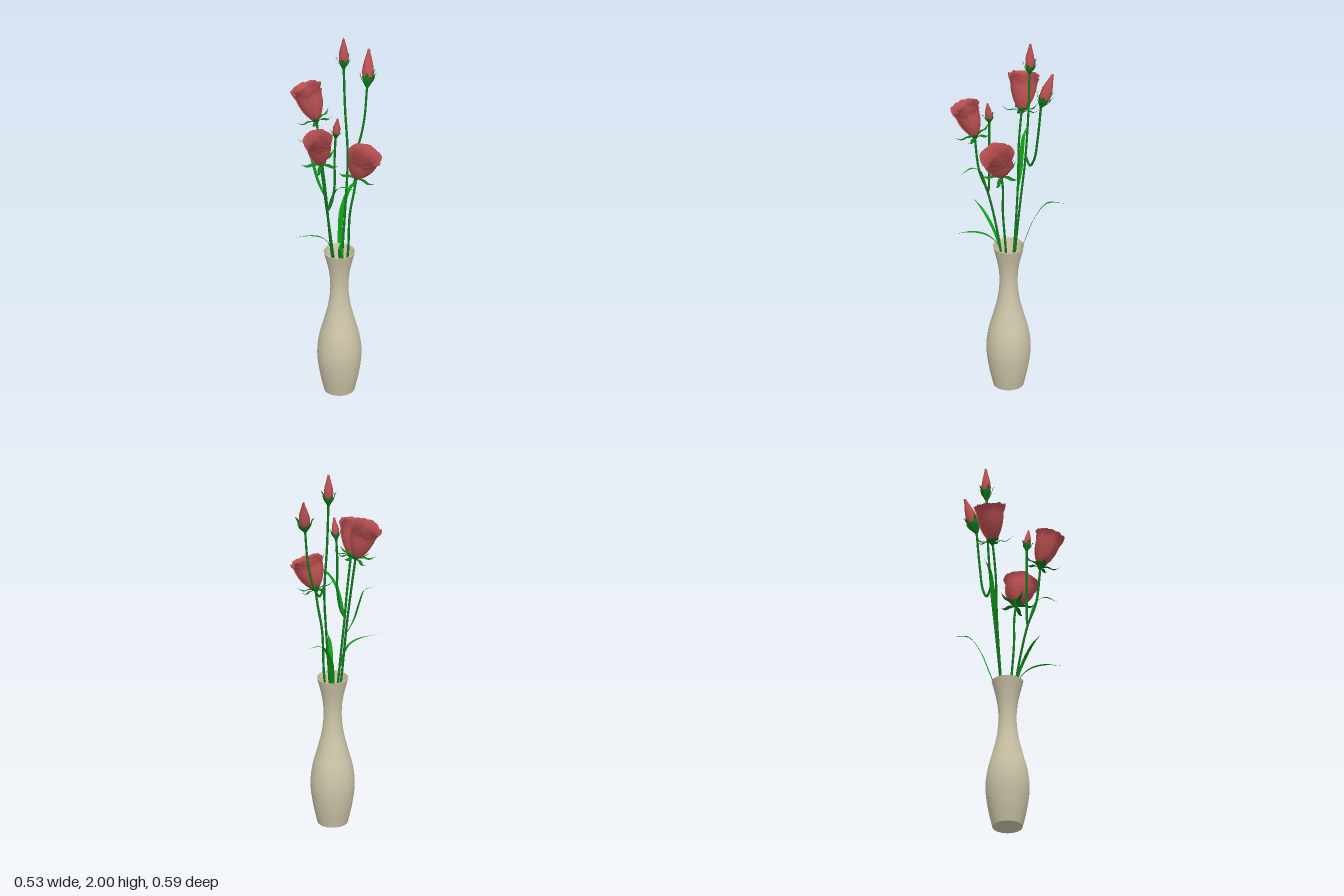
import * as THREE from 'three';
import { mergeGeometries } from 'three/addons/utils/BufferGeometryUtils.js';

const mat = (color, side = THREE.DoubleSide) => new THREE.MeshStandardMaterial({ color, side });
const V = (p) => new THREE.Vector3(...p);
const CX = 0.014, CZ = -0.003; // vase axis

function addMesh(parent, name, geometry, material) {
  const mesh = new THREE.Mesh(geometry, material);
  mesh.name = name;
  parent.add(mesh);
  return mesh;
}

// Bends a flat grid by a rule: fn(u in -1..1, v in 0..1) -> [x, y, z]
function sheet(nu, nv, fn) {
  const g = new THREE.PlaneGeometry(2, 1, nu, nv);
  const pos = g.attributes.position;
  for (let i = 0; i < pos.count; i++) pos.setXYZ(i, ...fn(pos.getX(i), pos.getY(i) + 0.5));
  g.computeVertexNormals();
  return g;
}

// Pointed blade along a curve, lightly folded at the midrib
function blade(points, halfWidth) {
  const curve = new THREE.CatmullRomCurve3(points.map(V));
  const a = curve.getPoint(0), b = curve.getPoint(1);
  const side = new THREE.Vector3(b.z - a.z, 0, a.x - b.x).normalize();
  return sheet(2, 16, (u, v) => {
    const p = curve.getPoint(v);
    const w = halfWidth * (0.2 + 0.8 * Math.sin(Math.PI * Math.pow(v, 0.75))) * Math.min(1, (1 - v) * 4);
    return [p.x + side.x * u * w, p.y + Math.abs(u) * w * 0.3, p.z + side.z * u * w];
  });
}

// One petal wrapped round the flower axis; its trailing edge tucks under the next
function petal(radius, height, angle, span, profile, lip) {
  return sheet(10, 10, (u, v) => {
    const a = angle + u * span;
    const curl = lip * Math.pow(Math.max(0, (v - 0.75) / 0.25), 2);
    const r = radius * profile(v) * (1 + 0.06 * u) + curl * (1 - 0.4 * u * u);
    const y = height * v * (1 - 0.1 * Math.pow(u, 4)) - curl * 0.35 + 0.006 * lip * 50 * v * v * Math.sin(u * 5 + angle);
    return [Math.sin(a) * r, y, Math.cos(a) * r];
  });
}

// Ring of thin sepals; path points are [outward, up]
function sepals(count, path, halfWidth) {
  const blades = [];
  for (let i = 0; i < count; i++) {
    const a = (i / count) * Math.PI * 2 + 0.5;
    blades.push(blade(path.map(([r, y]) => [Math.sin(a) * r, y, Math.cos(a) * r]), halfWidth));
  }
  return mergeGeometries(blades);
}

const lathe = (pts, seg) => new THREE.LatheGeometry(pts.map((p) => new THREE.Vector2(...p)), seg);

// Group standing on base with its own y axis pointing to tip
function flowerGroup(name, base, tip) {
  const g = new THREE.Group();
  g.name = name;
  g.position.copy(V(base));
  const axis = V(tip).sub(V(base));
  g.quaternion.setFromUnitVectors(new THREE.Vector3(0, 1, 0), axis.clone().normalize());
  return { g, length: axis.length() };
}

export function createModel() {
  const root = new THREE.Group();
  root.name = 'vaseOfRoses';
  const red = mat(0xbc5052), green = mat(0x0f7a1c), leafGreen = mat(0x109a18);

  // Vase: outer wall, rim, inner wall
  const wall = new THREE.SplineCurve([[0.077, 0], [0.099, 0.1], [0.112, 0.21], [0.103, 0.31], [0.08, 0.4],
    [0.056, 0.5], [0.046, 0.6], [0.054, 0.7], [0.08, 0.81]].map((p) => new THREE.Vector2(...p))).getPoints(40);
  const vase = new THREE.Group();
  vase.name = 'vase';
  vase.position.set(CX, 0, CZ);
  root.add(vase);
  const clay = mat(0xcdc5a9);
  addMesh(vase, 'vaseOuterWall', new THREE.LatheGeometry(wall, 48), clay);
  addMesh(vase, 'vaseInnerWall', new THREE.LatheGeometry(wall.map((p) => new THREE.Vector2(p.x - 0.005, Math.max(p.y, 0.01))).reverse(), 48), clay);
  addMesh(vase, 'vaseRim', new THREE.RingGeometry(0.075, 0.08, 48), clay).rotation.x = -Math.PI / 2;
  vase.getObjectByName('vaseRim').position.y = 0.81;
  addMesh(vase, 'vaseBase', new THREE.CircleGeometry(0.077, 48), clay).rotation.x = Math.PI / 2;
  const water = addMesh(vase, 'water', new THREE.CircleGeometry(0.051, 40), mat(0x2c2ca0));
  water.rotation.x = -Math.PI / 2;
  water.position.y = 0.5;

  // Stems: the last two are side shoots
  const stems = {
    leftRoseStem: [[0.005, 0.35, -0.005], [-0.012, 0.6, -0.008], [-0.045, 0.82, -0.01], [-0.08, 1.13, -0.012], [-0.105, 1.35, -0.005], [-0.135, 1.54, -0.008]],
    rightRoseStem: [[0.02, 0.35, -0.005], [0.038, 0.6, -0.008], [0.063, 0.82, -0.01], [0.08, 1.05, -0.002], [0.1, 1.19, -0.012], [0.118, 1.29, -0.01]],
    frontRoseStem: [[0.014, 0.35, 0.01], [0.016, 0.6, 0.022], [0.012, 0.82, 0.05], [0.02, 1.1, 0.11], [0.035, 1.22, 0.15], [0.03, 1.43, 0.18]],
    tallBudStem: [[0.014, 0.35, -0.01], [0.008, 0.6, -0.022], [0.008, 0.82, -0.04], [0.008, 1.1, -0.068], [0.003, 1.32, -0.09], [-0.02, 1.6, -0.098], [-0.03, 1.84, -0.1]],
    backBudStem: [[0.003, 1.36, -0.091], [0.01, 1.31, -0.12], [0.022, 1.36, -0.15], [0.04, 1.5, -0.178], [0.045, 1.71, -0.2]],
    frontBudStem: [[0.02, 1.1, 0.11], [0.035, 1.14, 0.097], [0.05, 1.25, 0.088], [0.05, 1.4, 0.088], [0.055, 1.55, 0.085]],
  };
  for (const [name, pts] of Object.entries(stems))
    addMesh(root, name, new THREE.TubeGeometry(new THREE.CatmullRomCurve3(pts.map(V)), 40, 0.006, 8), green);

  // Leaves
  const leaves = [
    [[[-0.005, 0.7, -0.03], [-0.035, 0.84, -0.075], [-0.055, 0.97, -0.12], [-0.053, 1.07, -0.19], [-0.045, 1.1, -0.295]], 0.014],
    [[[0.012, 0.74, 0.035], [0.015, 0.86, 0.07], [0.005, 0.94, 0.12], [-0.03, 0.97, 0.175], [-0.09, 0.978, 0.255]], 0.009],
    [[[0.025, 0.74, 0.01], [0.055, 0.83, 0.04], [0.09, 0.89, 0.085], [0.14, 0.92, 0.145], [0.2, 0.925, 0.21]], 0.012],
    [[[0.022, 1.1, 0.11], [0.05, 1.18, 0.118], [0.09, 1.26, 0.125], [0.16, 1.305, 0.14], [0.265, 1.31, 0.16]], 0.01],
    [[[-0.075, 1.08, -0.01], [-0.12, 1.17, -0.005], [-0.15, 1.27, 0], [-0.18, 1.35, 0.002], [-0.245, 1.39, 0.005]], 0.012],
  ];
  leaves.forEach(([pts, w], i) => addMesh(root, `leaf${i + 1}`, blade(pts, w), leafGreen));

  // Open roses: rings of overlapping petals, tightening to the heart
  const cup = (v) => 0.12 + 0.8 * Math.pow(Math.sin(Math.min(1, v * 1.15) * Math.PI / 2), 0.65);
  const rings = [[1, 5, 0.97], [0.85, 5, 1], [0.69, 4, 1], [0.53, 4, 0.99], [0.38, 3, 0.98], [0.24, 3, 0.97], [0.11, 2, 0.96]];
  const roses = [
    ['leftRose', [-0.135, 1.53, -0.008], [-0.193, 1.715, 0.006], 0.072],
    ['rightRose', [0.115, 1.28, -0.01], [0.172, 1.435, -0.012], 0.08],
    ['frontRose', [0.028, 1.42, 0.178], [0.047, 1.6, 0.228], 0.066],
  ];
  for (const [name, base, tip, radius] of roses) {
    const { g, length } = flowerGroup(name, base, tip);
    root.add(g);
    const petals = [];
    rings.forEach(([k, n, h], ring) => {
      for (let i = 0; i < n; i++)
        petals.push(petal(radius * k, length * h, (i / n) * Math.PI * 2 + ring * 0.7, (Math.PI / n) * 1.35, cup, 0.016 * k));
    });
    addMesh(g, name + 'Petals', mergeGeometries(petals), red);
    addMesh(g, name + 'Calyx', lathe([[0.005, -0.02], [0.012, -0.01], [0.02, 0.004], [0.03, 0.014]], 16), green);
    addMesh(g, name + 'Sepals', sepals(5, [[0.008, -0.008], [0.04, 0.0], [0.07, -0.004], [0.105, 0.022]], 0.01), green);
  }

  // Closed buds
  const drop = (v) => 0.08 + 0.92 * Math.sin(Math.PI * Math.pow(v * 0.97, 0.8));
  const buds = [
    ['tallBud', [-0.03, 1.83, -0.1], [-0.033, 2.0, -0.103], 0.023],
    ['backBud', [0.045, 1.7, -0.2], [0.017, 1.885, -0.252], 0.028],
    ['frontBud', [0.055, 1.54, 0.085], [0.07, 1.655, 0.088], 0.018],
  ];
  for (const [name, base, tip, r] of buds) {
    const { g, length: L } = flowerGroup(name, base, tip);
    root.add(g);
    const petals = [];
    for (let i = 0; i < 6; i++)
      petals.push(petal(r * (i < 3 ? 1 : 0.8), L * (i < 3 ? 0.95 : 1), i * 2.1, 1.4, drop, 0.003));
    addMesh(g, name + 'Petals', mergeGeometries(petals), red);
    addMesh(g, name + 'Calyx', lathe([[0.005, -0.01], [r * 0.5, 0.02 * L], [r * 0.85, 0.13 * L], [r * 1.05, 0.27 * L]], 16), green);
    addMesh(g, name + 'Sepals', sepals(5, [[r * 0.5, 0.03 * L], [r * 1.15, 0.18 * L], [r * 1.4, 0.32 * L], [r * 2, 0.42 * L]], r * 0.35), green);
  }
  return root;
}
